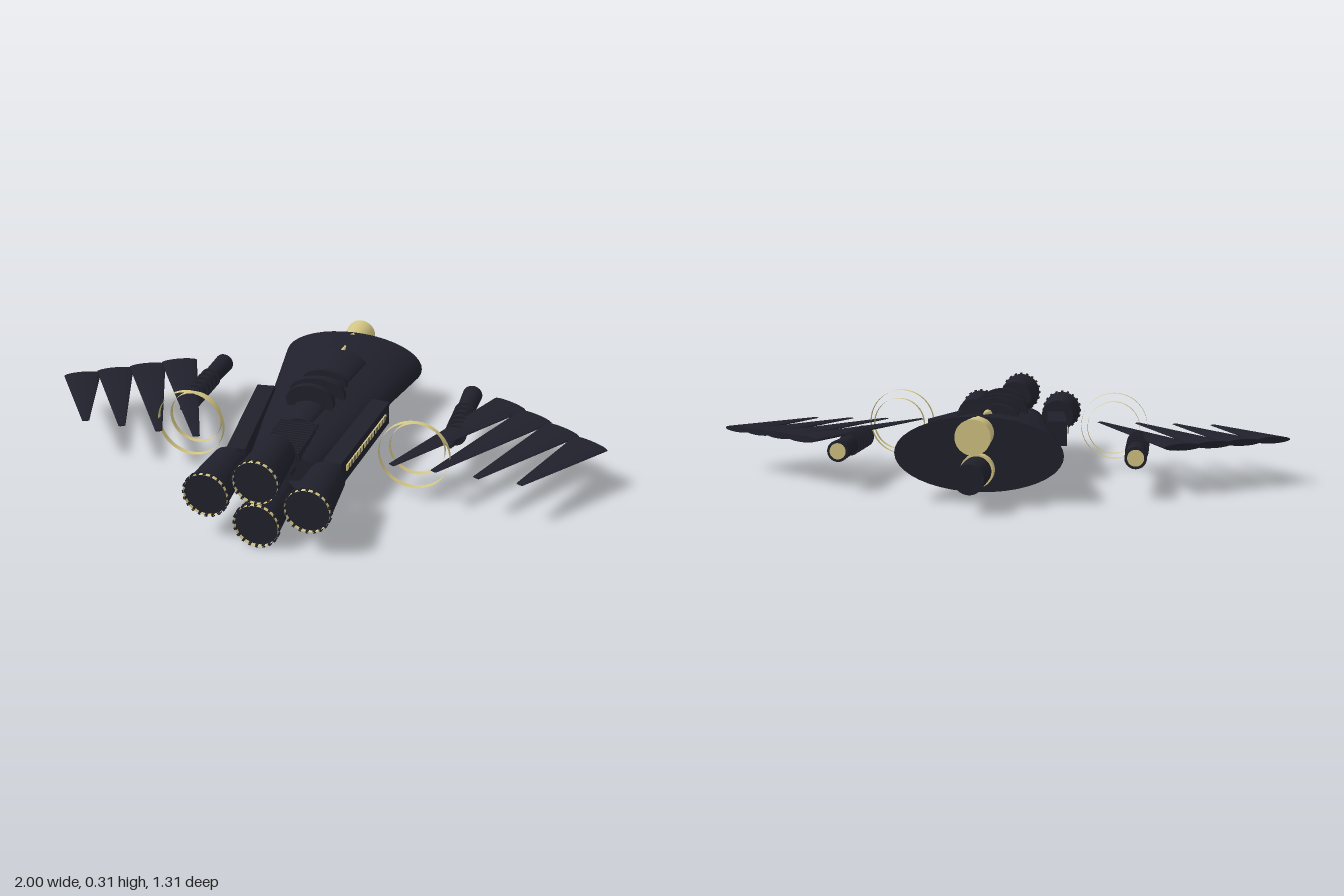
import * as THREE from 'three';

const dark = new THREE.MeshStandardMaterial({ color: 0x20202c });
dark.name = 'dark hull';
const gold = new THREE.MeshStandardMaterial({ color: 0xd3c583 });
gold.name = 'pale gold';
const goldBand = new THREE.MeshStandardMaterial({ color: 0xd3c583, side: THREE.DoubleSide });
goldBand.name = 'pale gold band';

function add(parent, name, geometry, material, x = 0, y = 0, z = 0) {
  const mesh = new THREE.Mesh(geometry, material);
  mesh.name = name;
  mesh.position.set(x, y, z);
  parent.add(mesh);
  return mesh;
}

// Cylinder or cone lying along z, from zBack to zFront
function barrel(parent, name, material, rFront, rBack, zFront, zBack, x, y, flat = 1, open = false) {
  const g = new THREE.CylinderGeometry(rFront, rBack, zFront - zBack, 40, 1, open);
  g.rotateX(Math.PI / 2).scale(1, flat, 1);
  return add(parent, name, g, material, x, y, (zFront + zBack) / 2);
}

function box(parent, name, material, w, h, d, x, y, z) {
  return add(parent, name, new THREE.BoxGeometry(w, h, d), material, x, y, z);
}

// Flared pod with a gold lip and a crown of teeth
function makePod(parent, x, y) {
  const pod = new THREE.Group();
  pod.name = 'frontPod';
  pod.position.set(x, y, 0);
  parent.add(pod);
  barrel(pod, 'podShell', dark, 0.073, 0.061, 0.64, 0.44, 0, 0);
  barrel(pod, 'podLip', goldBand, 0.072, 0.072, 0.653, 0.638, 0, 0, 1, true);
  for (let i = 0; i < 20; i++) {
    const a = (i / 20) * Math.PI * 2;
    const tooth = box(pod, 'podTooth', dark, 0.008, 0.008, 0.018, Math.cos(a) * 0.073, Math.sin(a) * 0.073, 0.643);
    tooth.rotation.z = a;
  }
}

// One side: armour panel, hoops, gun and feathers; s is +1 left, -1 right
function makeSide(parent, s) {
  const side = new THREE.Group();
  side.name = s > 0 ? 'leftSide' : 'rightSide';
  parent.add(side);

  const panel = new THREE.Group();
  panel.name = 'sidePanel';
  panel.position.set(s * 0.188, 0.155, 0.16);
  panel.rotation.set(0.05, -s * 0.11, 0);
  side.add(panel);
  box(panel, 'panelBody', dark, 0.064, 0.085, 0.445, 0, 0, 0);
  box(panel, 'panelStripe', gold, 0.006, 0.02, 0.36, s * 0.034, 0.005, 0);
  for (let i = 0; i < 14; i++) {
    box(panel, 'stripeNotch', dark, 0.002, 0.02, 0.003, s * 0.0375, 0.005, -0.165 + i * 0.0254);
  }

  // Thin free-floating hoops
  barrel(side, 'largeHoop', goldBand, 0.12, 0.12, 0.217, 0.197, s * 0.395, 0.16, 1, true);
  barrel(side, 'smallHoop', goldBand, 0.094, 0.094, 0.169, 0.149, s * 0.395, 0.16, 1, true);

  // Ribbed gun under the wing
  const gx = s * 0.488, gy = 0.135;
  barrel(side, 'gunBarrel', dark, 0.027, 0.036, 0.0, -0.35, gx, gy);
  barrel(side, 'gunTip', dark, 0.008, 0.024, 0.07, 0.0, gx, gy);
  barrel(side, 'gunCap', gold, 0.027, 0.027, -0.34, -0.353, gx, gy);
  for (let i = 0; i < 6; i++) {
    const z = -0.2 + i * 0.036;
    barrel(side, 'gunRib', dark, 0.039, 0.039, z + 0.005, z - 0.005, gx, gy);
  }

  // Flat feathers pointing forward and inward
  for (let i = 0; i < 4; i++) {
    const base = new THREE.Vector2(0.638 + i * 0.101, -0.26 + i * 0.071);
    const tip = new THREE.Vector2(0.34 + i * 0.138, 0.295);
    const length = base.distanceTo(tip);
    const g = new THREE.CylinderGeometry(0.012, 0.068, length, 24);
    g.rotateX(Math.PI / 2).scale(1, 0.17, 1);
    const feather = add(side, 'feather', g, dark,
      s * (base.x + tip.x) / 2, 0.16 - i * 0.001, (base.y + tip.y) / 2);
    feather.rotation.y = s * Math.atan2(tip.x - base.x, tip.y - base.y);
  }
}

export function createModel() {
  const model = new THREE.Group();
  model.name = 'spacecraft';

  // Main hull: a flattened cone, wide at the rear
  barrel(model, 'hull', dark, 0.113, 0.27, 0.4, -0.47, 0, 0.155, 0.445);
  barrel(model, 'noseJoint', dark, 0.05, 0.05, 0.45, 0.39, 0, 0.155, 0.45);

  // Raised spine with cross bands
  const spine = barrel(model, 'spine', dark, 0.04, 0.11, 0.21, -0.265, 0, 0.22, 0.58);
  spine.rotation.x = 0.03;
  barrel(model, 'spineBand', dark, 0.085, 0.085, 0.097, 0.073, 0, 0.245, 0.7);
  barrel(model, 'spineBand', dark, 0.1, 0.1, 0.012, -0.012, 0, 0.235, 0.6);
  barrel(model, 'spineBand', dark, 0.085, 0.085, -0.07, -0.09, 0, 0.235, 0.66);
  const spike = barrel(model, 'spineSpike', gold, 0.015, 0.004, -0.26, -0.35, 0, 0.262);
  spike.rotation.x = 0.12;

  // Ribbed neck
  box(model, 'neck', dark, 0.12, 0.025, 0.23, 0, 0.205, 0.31);
  for (let i = 0; i < 14; i++) {
    box(model, 'neckRib', dark, 0.135, 0.032, 0.008, 0, 0.21, 0.21 + i * 0.016);
  }

  // Belly plates
  box(model, 'bellyBlock', dark, 0.18, 0.05, 0.55, 0, 0.07, 0.185);
  box(model, 'bellyKeel', dark, 0.11, 0.012, 0.49, 0, 0.041, 0.155);
  box(model, 'rearKeel', dark, 0.15, 0.03, 0.3, 0, 0.06, -0.18);

  // Rear engines
  barrel(model, 'upperEngine', gold, 0.049, 0.056, -0.45, -0.58, 0, 0.225);
  barrel(model, 'lowerEngineCollar', gold, 0.053, 0.053, -0.45, -0.505, 0, 0.108);
  barrel(model, 'lowerEngine', dark, 0.047, 0.047, -0.5, -0.653, 0, 0.108);

  // Four front pods in a cross
  makePod(model, 0.165, 0.16);
  makePod(model, -0.165, 0.16);
  makePod(model, 0, 0.23);
  makePod(model, 0, 0.078);

  makeSide(model, 1);
  makeSide(model, -1);
  return model;
}
